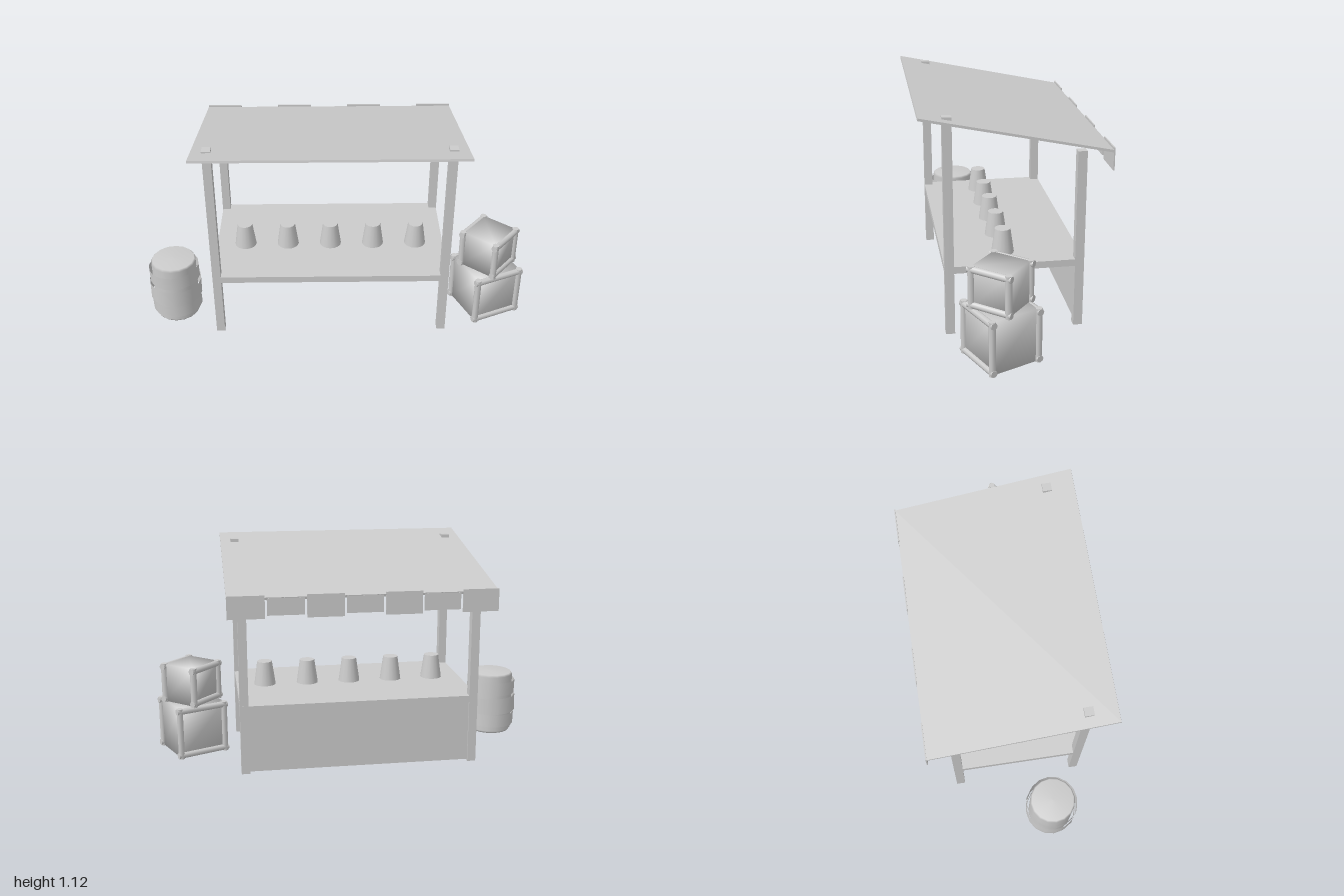
import * as THREE from 'three';
import { mergeVertices } from 'three/addons/utils/BufferGeometryUtils.js';

const material = new THREE.MeshStandardMaterial({ color: 0xcccccc });
const thinMaterial = new THREE.MeshStandardMaterial({ color: 0xcccccc, side: THREE.DoubleSide });

function add(parent, name, geometry, x, y, z, mat = material) {
  const mesh = new THREE.Mesh(geometry, mat);
  mesh.name = name;
  mesh.position.set(x, y, z);
  parent.add(mesh);
  return mesh;
}

const box = (w, h, d) => new THREE.BoxGeometry(w, h, d);

// Box with normals shared across its corners for soft shading
function softBox(w, h, d) {
  const geometry = box(w, h, d);
  geometry.deleteAttribute('normal');
  geometry.deleteAttribute('uv');
  const merged = mergeVertices(geometry);
  merged.computeVertexNormals();
  return merged;
}

// Crate: soft box with a square frame of round rods on two opposite sides
function createCrate(name, size, height, angle, y) {
  const crate = new THREE.Group();
  crate.name = name;
  const r = 0.017;
  add(crate, 'crateBody', softBox(size - 0.03, height - 0.006, size - 0.03), 0, height / 2, 0);
  for (const side of [-1, 1]) {
    const z = side * (size / 2 - r);
    for (const end of [-1, 1]) {
      add(crate, 'crateUpright', new THREE.CylinderGeometry(r, r, height, 8),
        end * (size / 2 - r), height / 2, z);
      add(crate, 'crateRail', new THREE.CylinderGeometry(r, r, size, 8),
        0, height / 2 + end * (height / 2 - r), z).rotation.z = Math.PI / 2;
    }
  }
  crate.position.set(0.812, y, 0.108);
  crate.rotation.y = angle;
  return crate;
}

// Barrel: straight body with a softened rim and three loose open hoops
function createBarrel() {
  const barrel = new THREE.Group();
  barrel.name = 'barrel';
  const profile = [[0, 0.01], [0.11, 0.01], [0.118, 0.022], [0.118, 0.336], [0.11, 0.347], [0, 0.35]]
    .map(([x, y]) => new THREE.Vector2(x, y));
  add(barrel, 'barrelBody', new THREE.LatheGeometry(profile, 16), 0, 0, 0);
  const hoops = [[0.132, 0.05, 0.12], [0.137, 0.126, 0.217], [0.132, 0.233, 0.307]];
  hoops.forEach(([r, low, high], i) => {
    const hoop = add(barrel, 'barrelHoop',
      new THREE.CylinderGeometry(r, r, high - low, 16, 1, true), 0, (low + high) / 2, 0, thinMaterial);
    hoop.rotation.z = i % 2 ? -0.02 : 0.03;
  });
  barrel.position.set(-0.863, 0, 0.15);
  return barrel;
}

export function createModel() {
  const model = new THREE.Group();
  model.name = 'marketStall';

  // Four square posts, the front pair taller
  for (const x of [-0.615, 0.555]) {
    add(model, 'frontPost', box(0.043, 1.098, 0.045), x, 0.556, 0.32);
    add(model, 'backPost', box(0.043, 0.908, 0.045), x, 0.461, -0.316);
  }

  // Counter and the panel closing its back
  add(model, 'counterTop', box(1.21, 0.035, 0.682), -0.03, 0.346, 0.002);
  add(model, 'backPanel', box(1.14, 0.315, 0.022), -0.03, 0.173, -0.318);

  // Sloping roof
  add(model, 'roof', box(1.32, 0.012, 0.925), -0.03, 1.02, 0.002).rotation.x = -0.207;

  // Hanging flaps along the low edge, alternating in height
  for (let i = 0; i < 7; i++) {
    const low = i % 2 === 0;
    const bottom = low ? 0.83 : 0.844;
    const top = low ? 0.942 : 0.928;
    add(model, 'roofFlap', box(0.18, top - bottom, 0.006),
      -0.6 + i * 0.19, (top + bottom) / 2, low ? -0.452 : -0.449);
  }

  // Row of upturned cups
  for (let i = 0; i < 5; i++) {
    add(model, 'cup', new THREE.CylinderGeometry(0.039, 0.057, 0.125, 16),
      -0.483 + i * 0.227, 0.426, 0.04);
  }

  model.add(createCrate('lowerCrate', 0.285, 0.275, 0.41, 0));
  model.add(createCrate('upperCrate', 0.232, 0.21, 0.87, 0.272));
  model.add(createBarrel());
  return model;
}
